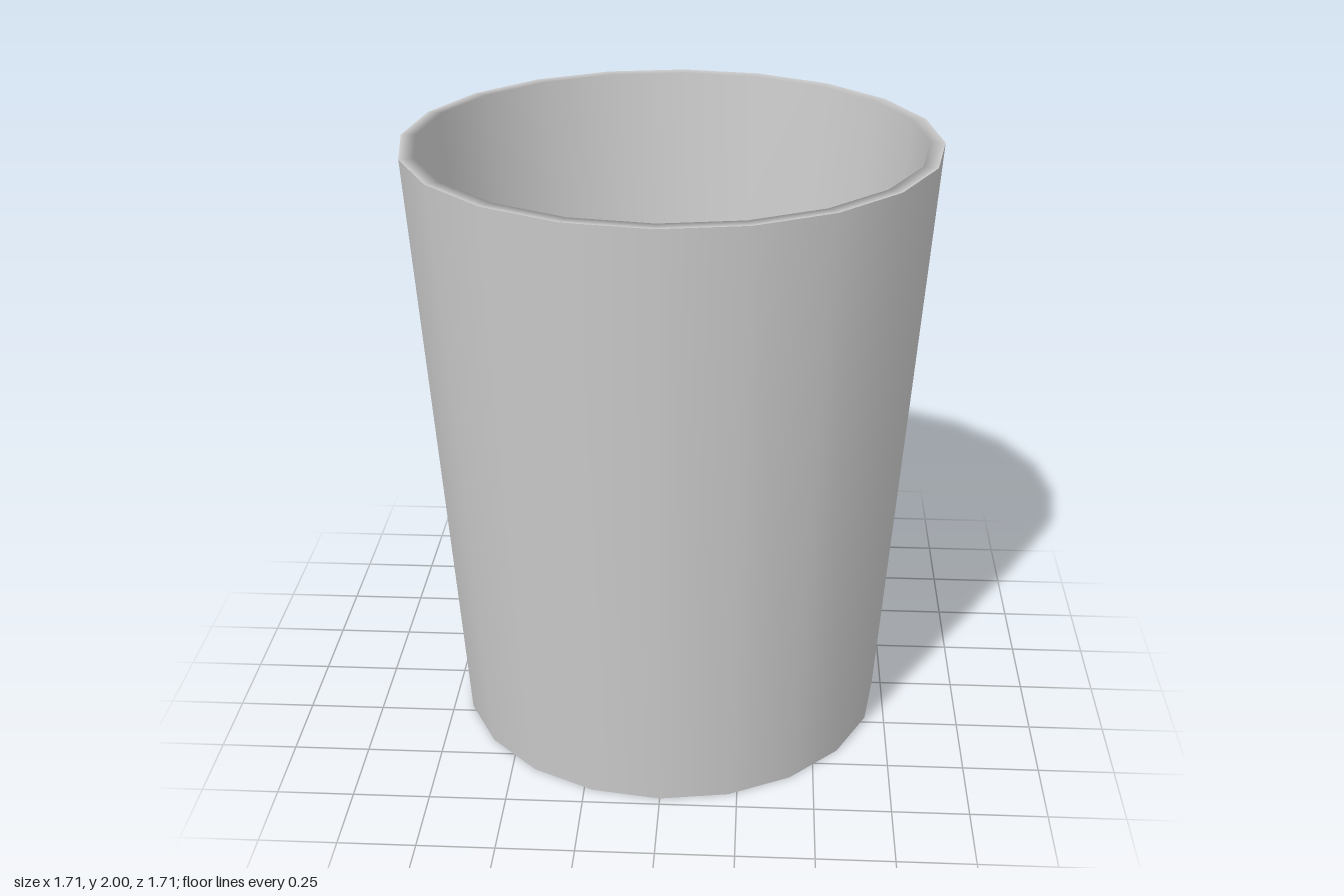
import * as THREE from 'three';

const SIDES = 20;

export function createModel() {
  const group = new THREE.Group();
  group.name = 'cup';
  const material = new THREE.MeshStandardMaterial({ color: 0xcccccc });

  // Each part turns its own [radius, height] profile; separate parts keep sharp edges
  const turn = (name, profile) => {
    const points = profile.map(([r, y]) => new THREE.Vector2(r, y));
    const mesh = new THREE.Mesh(new THREE.LatheGeometry(points, SIDES), material);
    mesh.name = name;
    group.add(mesh);
  };

  // Underside disc
  turn('base', [[0, 0], [0.72, 0]]);
  // Tapered outside
  turn('outerWall', [[0.72, 0], [0.857, 2]]);
  // Flat lip blending smoothly into the inside wall
  turn('rimAndInnerWall', [[0.857, 2], [0.81, 2], [0.68, 0.09]]);
  // Inside bottom
  turn('floor', [[0.68, 0.09], [0, 0.09]]);

  return group;
}
